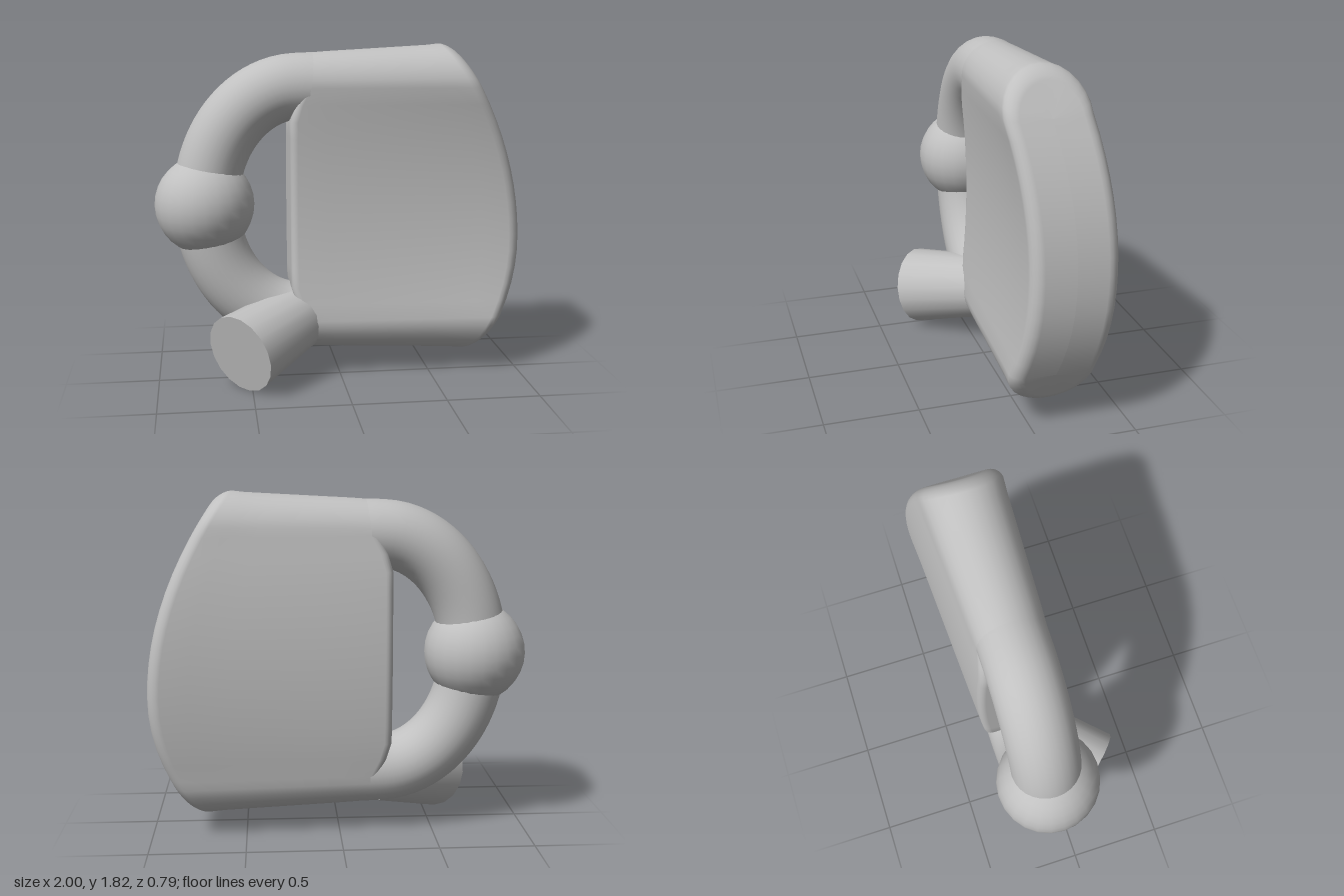
import * as THREE from 'three';

const MID_Y = 0.965, HALF_Y = 0.635, MID_Z = -0.105;

// Cross-section of the panel: a tall capsule given as [side of centre line, angle]
function capsuleOutline() {
  const outline = [], cap = 14, side = 14;
  for (let i = 0; i < side; i++) outline.push([-1 + (2 * i) / side, 0]);
  for (let i = 0; i < cap; i++) outline.push([1, (Math.PI * i) / cap]);
  for (let i = 0; i < side; i++) outline.push([1 - (2 * i) / side, Math.PI]);
  for (let i = 0; i < cap; i++) outline.push([-1, Math.PI + (Math.PI * i) / cap]);
  return outline;
}

// Bowed right end and nearly straight left end, as x by height
const rightX = (y) => 0.997 - (y > 0.76 ? 0.335 : 0.55) * (y - 0.76) ** 2;
const leftX = (y) => -0.27 + 0.07 * THREE.MathUtils.smoothstep(Math.abs(y - MID_Y), 0.48, HALF_Y);

function panelGeometry() {
  // Rings run left to right: u across the panel, inset and pull-in for rounded edges
  const rings = [];
  const steps = 5, bevelL = 0.04, bevelR = 0.065;
  rings.push({ u: 0, inset: 0.18, pull: 0 });
  for (let i = 0; i <= steps; i++) {
    const a = (i / steps) * Math.PI / 2;
    rings.push({ u: 0, inset: bevelL * (1 - Math.sin(a)), pull: bevelL * (1 - Math.cos(a)) });
  }
  for (let i = 1; i < 6; i++) rings.push({ u: i / 6, inset: 0, pull: 0 });
  for (let i = 0; i <= steps; i++) {
    const a = (i / steps) * Math.PI / 2;
    rings.push({ u: 1, inset: bevelR * (1 - Math.cos(a)), pull: -bevelR * (1 - Math.sin(a)) });
  }
  rings.push({ u: 1, inset: 0.225, pull: 0 });

  const outline = capsuleOutline(), n = outline.length;
  const positions = [], index = [];
  rings.forEach(({ u, inset, pull }, k) => {
    const radius = 0.18 + 0.045 * u - inset;
    for (const [s, angle] of outline) {
      const y = MID_Y + HALF_Y * s + radius * Math.sin(angle);
      const bow = Math.max(0, 1 - ((y - MID_Y) / HALF_Y) ** 2) * (0.045 + 0.015 * u);
      const x = THREE.MathUtils.lerp(leftX(y), rightX(y), u) + pull;
      positions.push(x, y, MID_Z + radius * Math.cos(angle) - bow);
    }
    if (k === rings.length - 1) return;
    for (let j = 0; j < n; j++) {
      const a = k * n + j, b = k * n + ((j + 1) % n);
      index.push(a, a + n, b, b, a + n, b + n);
    }
  });
  const geometry = new THREE.BufferGeometry();
  geometry.setAttribute('position', new THREE.Float32BufferAttribute(positions, 3));
  geometry.setIndex(index);
  geometry.computeVertexNormals();
  return geometry;
}

export function createModel() {
  const group = new THREE.Group();
  const grey = new THREE.MeshStandardMaterial({ color: 0xc0c0c0 });
  grey.name = 'plain grey';
  const add = (name, geometry) => {
    const mesh = new THREE.Mesh(geometry, grey);
    mesh.name = name;
    group.add(mesh);
    return mesh;
  };

  add('panel', panelGeometry());

  // Bent handle tube, its ends buried in the panel
  const path = [new THREE.Vector3(0, MID_Y + HALF_Y, MID_Z)];
  for (let i = 0; i <= 16; i++) {
    const a = (i / 16) * Math.PI;
    path.push(new THREE.Vector3(-0.21 - 0.51 * Math.sin(a), MID_Y + HALF_Y * Math.cos(a), MID_Z));
  }
  path.push(new THREE.Vector3(0, MID_Y - HALF_Y, MID_Z));
  add('handleTube', new THREE.TubeGeometry(new THREE.CatmullRomCurve3(path), 56, 0.18, 28));

  // Ball around the middle of the handle
  add('handleBall', new THREE.SphereGeometry(0.27, 24, 16)).position.set(-0.73, MID_Y, -0.1);

  // Angled peg from the lower tube, pointing forward and outward
  const root = new THREE.Vector3(-0.21, 0.325, -0.1);
  const tip = new THREE.Vector3(-0.565, 0.218, 0.24);
  const direction = tip.clone().sub(root);
  const peg = add('peg', new THREE.CylinderGeometry(0.218, 0.178, direction.length(), 18));
  peg.position.copy(root).add(tip).multiplyScalar(0.5);
  peg.quaternion.setFromUnitVectors(new THREE.Vector3(0, 1, 0), direction.normalize());

  return group;
}
